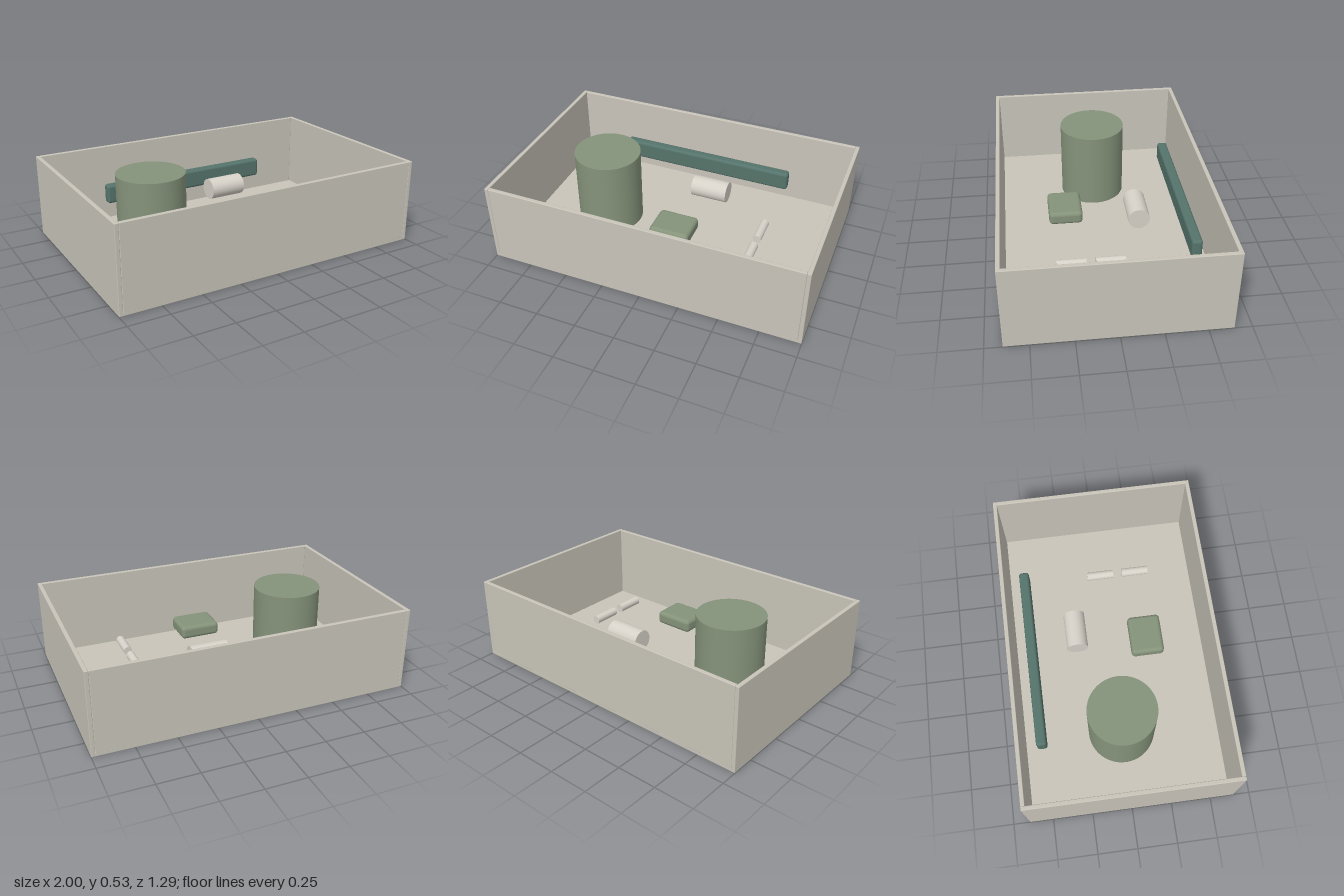
import * as THREE from 'three';
import { RoundedBoxGeometry } from 'three/addons/geometries/RoundedBoxGeometry.js';

export function createModel() {
  const model = new THREE.Group();
  model.name = 'openBox';

  const mat = (name, color) => {
    const m = new THREE.MeshStandardMaterial({ color });
    m.name = name;
    return m;
  };
  const shell = mat('warmGrey', 0xc8c4b9);
  const pale = mat('paleGrey', 0xd6d1c8);
  const sage = mat('sageGreen', 0x85937a);
  const teal = mat('darkTeal', 0x55746b);

  const add = (name, geometry, material, x, y, z) => {
    const mesh = new THREE.Mesh(geometry, material);
    mesh.name = name;
    mesh.position.set(x, y, z);
    model.add(mesh);
    return mesh;
  };
  const rounded = (w, h, d, r) => new RoundedBoxGeometry(w, h, d, 3, r);

  const W = 2, H = 0.53, D = 1.295, T = 0.025, R = 0.004;

  // Tray: floor slab with four upright walls, side walls run the full depth
  add('floor', rounded(W, T, D, R), shell, 0, T / 2, 0);
  for (const s of [-1, 1]) {
    add(s > 0 ? 'leftWall' : 'rightWall', rounded(T, H, D, R), shell, s * (W - T) / 2, H / 2, 0);
    add(s > 0 ? 'frontWall' : 'backWall', rounded(W - 2 * T, H - 0.02, T, R), shell,
      0, H / 2 + 0.01, s * (D - T) / 2);
  }

  // Large upright drum standing on the floor
  const drumTop = 0.525;
  add('drum', new THREE.CylinderGeometry(0.212, 0.212, drumTop - T, 64), sage,
    -0.497, (drumTop + T) / 2, 0);

  // Long bar held near the back wall
  add('backBar', rounded(1.175, 0.125, 0.065, 0.018), teal, -0.003, 0.24, -0.51);

  // Small rounded block
  add('block', rounded(0.255, 0.085, 0.21, 0.025), sage, 0.057, 0.238, 0.232);

  // Short roller lying across the tray
  add('roller', new THREE.CylinderGeometry(0.068, 0.068, 0.237, 48), pale,
    0.14, 0.255, -0.215).rotation.z = Math.PI / 2;

  // Pair of thin rods in line, running front to back
  for (const [name, z] of [['backRod', -0.002], ['frontRod', 0.232]]) {
    add(name, new THREE.CylinderGeometry(0.027, 0.027, 0.177, 32), pale, 0.552, 0.182, z)
      .rotation.x = Math.PI / 2;
  }

  return model;
}
